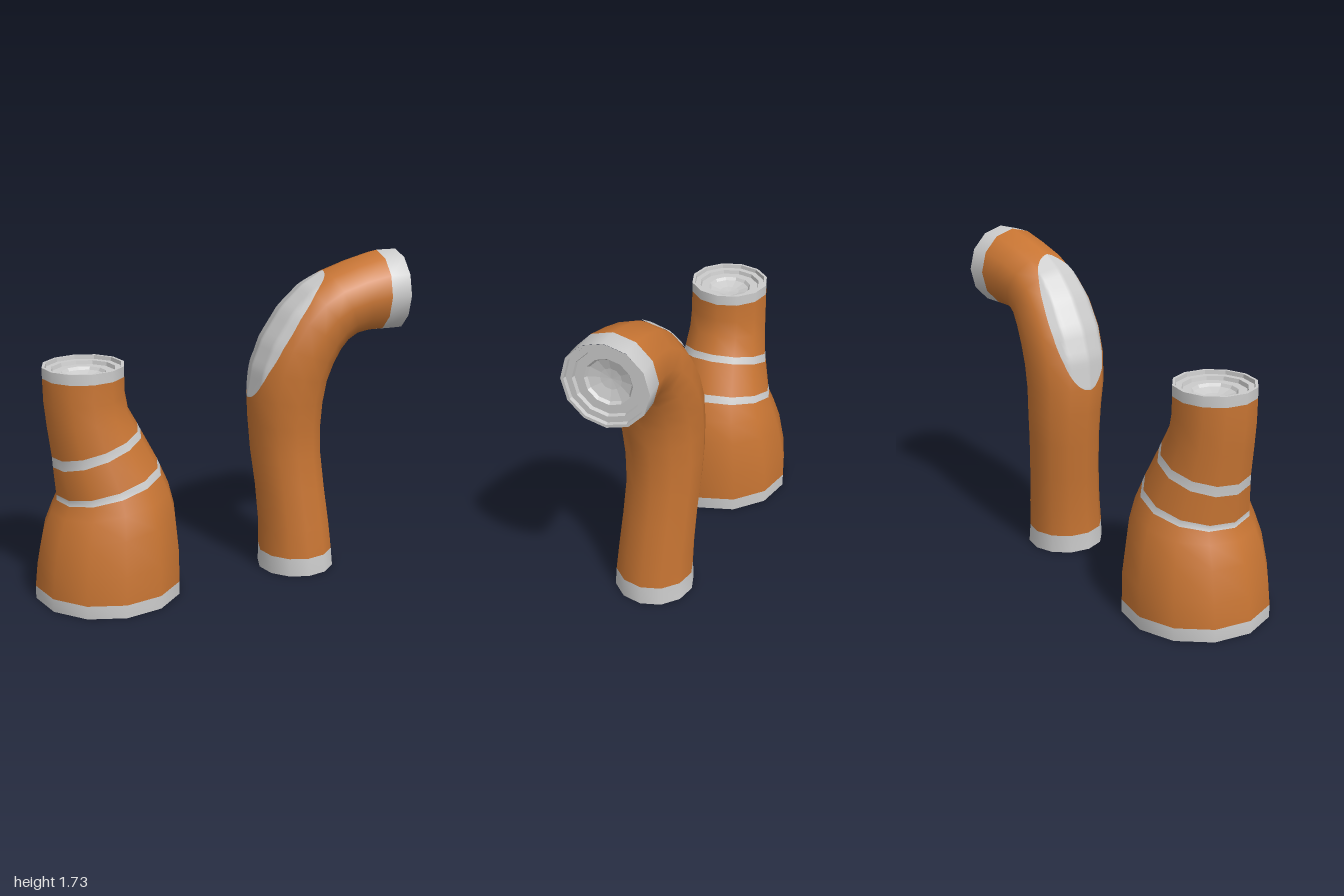
import * as THREE from 'three';

const SIDES = 12;
const grey = new THREE.MeshStandardMaterial({ color: 0xcccccc });
const orange = new THREE.MeshStandardMaterial({ color: 0xc87533 });
const capGrey = new THREE.MeshStandardMaterial({ color: 0xcccccc, flatShading: true });

// A ring is [left x, left y, right x, right y, z radius, z centre]
function ringPoint([lx, ly, rx, ry, rz, cz = 0], angle) {
  const c = Math.cos(angle), s = Math.sin(angle);
  return new THREE.Vector3((lx + rx) / 2 + c * (lx - rx) / 2, (ly + ry) / 2 + c * (ly - ry) / 2, cz + rz * s);
}

// Skins the rings once, then splits the skin into coloured parts that share normals
function addSkin(group, rings, parts) {
  const pos = [], base = new THREE.BufferGeometry();
  for (const ring of rings)
    for (let j = 0; j < SIDES; j++) pos.push(...ringPoint(ring, j / SIDES * Math.PI * 2).toArray());
  const span = (from, to) => {
    const index = [];
    for (let i = from; i < to; i++)
      for (let j = 0; j < SIDES; j++) {
        const k = (j + 1) % SIDES, a = i * SIDES, b = a + SIDES;
        index.push(a + j, a + k, b + j, a + k, b + k, b + j);
      }
    return index;
  };
  base.setAttribute('position', new THREE.Float32BufferAttribute(pos, 3));
  base.setIndex(span(0, rings.length - 1));
  base.computeVertexNormals();
  for (const [name, from, to, material] of parts) {
    const geometry = base.clone();
    geometry.setIndex(span(from, to));
    const mesh = new THREE.Mesh(geometry, material);
    mesh.name = name;
    group.add(mesh);
  }
}

// Stepped end face: profile of [radius fraction, depth], from the rim to the centre
function addCap(group, name, radius, profile, position, rotation) {
  const points = profile.map(([r, d]) => new THREE.Vector2(r * radius, d));
  const mesh = new THREE.Mesh(new THREE.LatheGeometry(points, SIDES), capGrey);
  mesh.name = name;
  mesh.position.set(...position);
  mesh.rotation.set(...rotation);
  group.add(mesh);
}

const socket = [[1, 0], [0.93, 0], [0.92, -0.02], [0.78, -0.02], [0.76, -0.04], [0.55, -0.04], [0.5, -0.055], [0.25, -0.07], [0, -0.075]];
const bossed = [[1, 0], [0.81, 0], [0.8, -0.06], [0.53, -0.06], [0.52, -0.02], [0, -0.02]];
const hollow = [[1, 0], [0.86, 0], [0.85, -0.05], [0, -0.05]];

// Raised pad following the outside of the bend, with an oval outline
function bendPad(rings, from, to) {
  const NU = 32, NV = 24, pos = [], index = [];
  const step = Math.PI * 2 / SIDES;
  const facetPoint = (ring, angle) => {
    const k = Math.floor(angle / step);
    return ringPoint(ring, k * step).lerp(ringPoint(ring, (k + 1) * step), angle / step - k);
  };
  for (let i = 0; i <= NU; i++) {
    const s = (1 - Math.cos(i / NU * Math.PI)) / 2;
    const t = from + s * (to - from), r = Math.min(Math.floor(t), rings.length - 2);
    const half = 0.8 * Math.sqrt(Math.max(0, 1 - (2 * s - 1) ** 2));
    const centre = ringPoint(rings[r], 0).add(ringPoint(rings[r], Math.PI)).multiplyScalar(0.5);
    const nextCentre = ringPoint(rings[r + 1], 0).add(ringPoint(rings[r + 1], Math.PI)).multiplyScalar(0.5);
    centre.lerp(nextCentre, t - r);
    for (let j = 0; j <= NV; j++) {
      const angle = half * (2 * j / NV - 1);
      const p = facetPoint(rings[r], angle).lerp(facetPoint(rings[r + 1], angle), t - r);
      p.addScaledVector(p.clone().sub(centre).normalize(), 0.006);
      pos.push(...p.toArray());
      if (i < NU && j < NV) {
        const a = i * (NV + 1) + j, b = a + NV + 1;
        index.push(a, a + 1, b, a + 1, b + 1, b);
      }
    }
  }
  const geometry = new THREE.BufferGeometry();
  geometry.setAttribute('position', new THREE.Float32BufferAttribute(pos, 3));
  geometry.setIndex(index);
  geometry.computeVertexNormals();
  const mesh = new THREE.Mesh(geometry, grey);
  mesh.name = 'bendPad';
  return mesh;
}

export function createModel() {
  const model = new THREE.Group();
  model.name = 'limbSegments';

  // Flared segment with two slanted bands
  const flared = new THREE.Group();
  flared.name = 'flaredSegment';
  addSkin(flared, [
    [-1, 0, -0.225, 0, 0.387],
    [-1, 0.07, -0.225, 0.07, 0.387],
    [-0.985, 0.2, -0.226, 0.24, 0.38],
    [-0.95, 0.36, -0.245, 0.44, 0.35],
    [-0.905, 0.47, -0.275, 0.56, 0.315],
    [-0.873, 0.53, -0.318, 0.66, 0.285],
    [-0.873, 0.56, -0.335, 0.7, 0.275],
    [-0.885, 0.71, -0.42, 0.865, 0.24],
    [-0.888, 0.765, -0.437, 0.9, 0.232],
    [-0.908, 0.93, -0.485, 0.99, 0.217],
    [-0.92, 1.06, -0.5, 1.08, 0.212],
    [-0.922, 1.18, -0.5, 1.18, 0.211],
    [-0.922, 1.235, -0.5, 1.235, 0.211],
  ], [
    ['flaredBaseBand', 0, 1, grey], ['flaredLowerShell', 1, 5, orange],
    ['lowerSlantedBand', 5, 6, grey], ['flaredMiddleShell', 6, 7, orange],
    ['upperSlantedBand', 7, 8, grey], ['flaredUpperShell', 8, 11, orange],
    ['flaredTopBand', 11, 12, grey],
  ]);
  addCap(flared, 'flaredTopSocket', 0.211, socket, [-0.711, 1.235, 0], [0, 0, 0]);
  addCap(flared, 'flaredBaseSocket', 0.387, bossed, [-0.6125, 0, 0], [Math.PI, 0, 0]);

  // Bent segment, curving over towards +x
  const bent = new THREE.Group();
  bent.name = 'bentSegment';
  const bentRings = [
    [0.247, 0, 0.665, 0, 0.21, 0],
    [0.25, 0.1, 0.655, 0.1, 0.205, 0],
    [0.25, 0.25, 0.64, 0.25, 0.2, -0.01],
    [0.235, 0.45, 0.615, 0.45, 0.195, -0.025],
    [0.21, 0.65, 0.595, 0.65, 0.195, -0.04],
    [0.195, 0.83, 0.591, 0.8, 0.203, -0.042],
    [0.185, 0.98, 0.597, 0.93, 0.211, -0.035],
    [0.205, 1.14, 0.615, 1.05, 0.218, -0.028],
    [0.26, 1.29, 0.645, 1.14, 0.22, -0.02],
    [0.36, 1.45, 0.68, 1.21, 0.215, -0.012],
    [0.47, 1.56, 0.715, 1.255, 0.205, -0.005],
    [0.59, 1.633, 0.76, 1.285, 0.2, 0],
    [0.74, 1.685, 0.82, 1.295, 0.202, 0],
    [0.89, 1.725, 0.89, 1.295, 0.213, 0],
    [1, 1.725, 1, 1.295, 0.213, 0],
  ];
  addSkin(bent, bentRings, [
    ['bentBaseBand', 0, 1, grey], ['bentShell', 1, 13, orange], ['bentMouthBand', 13, 14, grey],
  ]);
  bent.add(bendPad(bentRings, 5.95, 10.95));
  addCap(bent, 'bentMouthSocket', 0.214, socket, [1, 1.51, 0], [0, 0, -Math.PI / 2]);
  addCap(bent, 'bentBaseSocket', 0.209, hollow, [0.456, 0, 0], [Math.PI, 0, 0]);

  model.add(flared, bent);
  return model;
}
